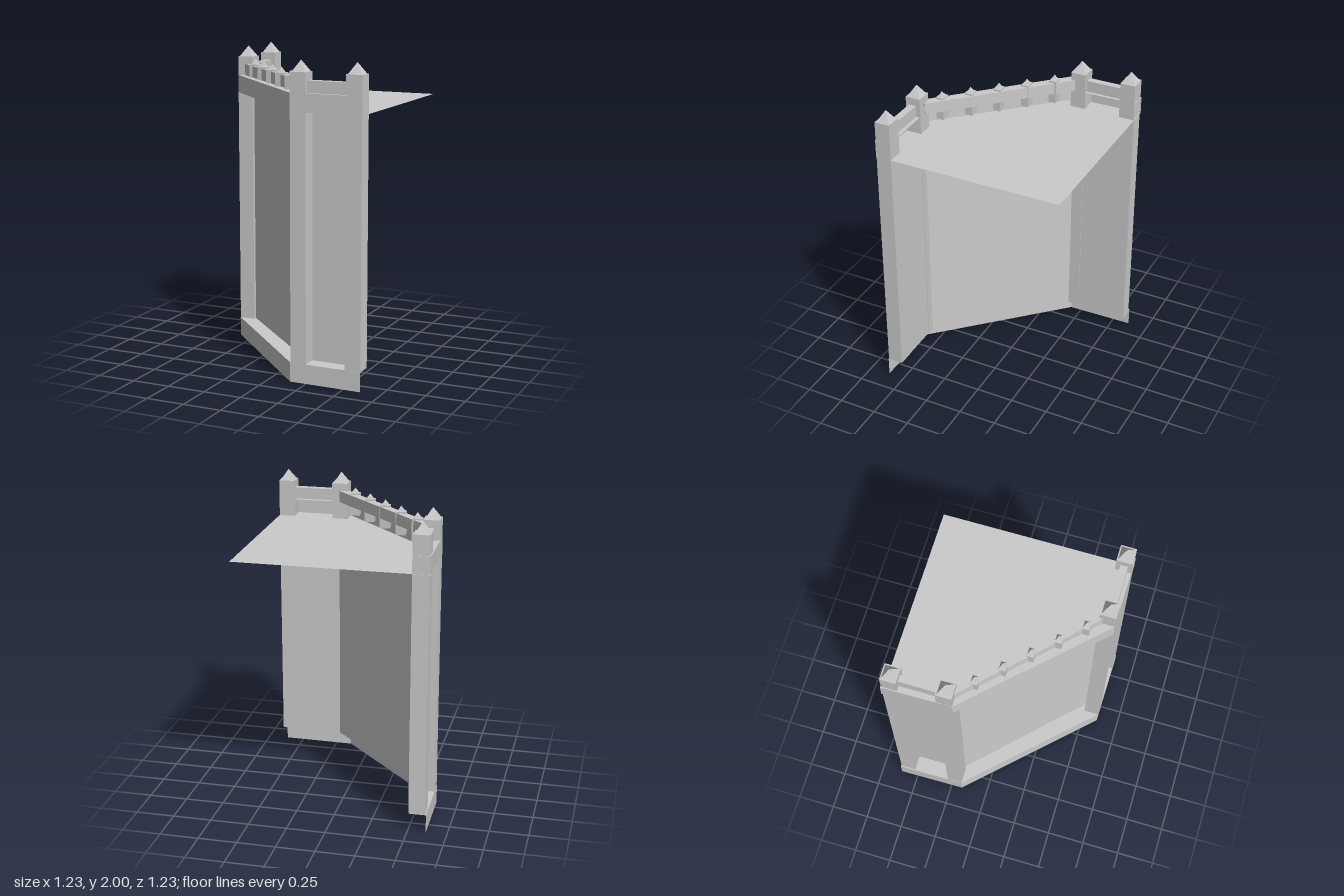
import * as THREE from 'three';

const material = new THREE.MeshStandardMaterial({ color: 0xcccccc, flatShading: true, side: THREE.DoubleSide });

// Plan outlines [x, z], running from the back end round to the front end
const OUTER = [[-0.617, -0.617], [-0.611, -0.175], [0.143, 0.605], [0.617, 0.611]];
const INNER = [[-0.51, -0.617], [-0.51, -0.205], [0.205, 0.51], [0.617, 0.51]];

function add(parent, name, geometry, x = 0, y = 0, z = 0) {
  const mesh = new THREE.Mesh(geometry, material);
  mesh.name = name;
  mesh.position.set(x, y, z);
  parent.add(mesh);
  return mesh;
}

// Strip of quads between two outlines at two heights
function ribbon(a, ya, b, yb) {
  const p = [];
  for (let i = 0; i < a.length - 1; i++) {
    const a0 = [a[i][0], ya, a[i][1]], a1 = [a[i + 1][0], ya, a[i + 1][1]];
    const b0 = [b[i][0], yb, b[i][1]], b1 = [b[i + 1][0], yb, b[i + 1][1]];
    p.push(...a0, ...a1, ...b1, ...a0, ...b1, ...b0);
  }
  const g = new THREE.BufferGeometry();
  g.setAttribute('position', new THREE.Float32BufferAttribute(p, 3));
  g.computeVertexNormals();
  return g;
}

// Box between two heights
function block(parent, name, x, z, w, d, y0, y1) {
  return add(parent, name, new THREE.BoxGeometry(w, y1 - y0, d), x, (y0 + y1) / 2, z);
}

// Square post with a pyramid cap
function post(parent, name, x, z, w, d, y0, y1, capW, capD, tip) {
  const g = new THREE.Group();
  g.name = name;
  block(g, name + 'Shaft', x, z, w, d, y0, y1);
  const cap = new THREE.ConeGeometry(Math.SQRT1_2, tip - y1, 4, 1);
  cap.rotateY(Math.PI / 4).scale(capW, 1, capD);
  add(g, name + 'Cap', cap, x, (y1 + tip) / 2, z);
  parent.add(g);
}

export function createModel() {
  const model = new THREE.Group();
  model.name = 'cornerFacade';

  // Plinth, recessed wall and projecting band
  add(model, 'plinthFace', ribbon(OUTER, 0, OUTER, 0.125));
  add(model, 'plinthLedge', ribbon(OUTER, 0.125, INNER, 0.125));
  add(model, 'wall', ribbon(INNER, 0.125, INNER, 1.69));
  add(model, 'bandUnderside', ribbon(INNER, 1.69, OUTER, 1.69));
  add(model, 'bandFace', ribbon(OUTER, 1.69, OUTER, 1.805));
  add(model, 'bandLedge', ribbon(OUTER, 1.805, INNER, 1.805));

  // Flat roof closing the open back
  const plan = [...INNER, [0.617, -0.617]].map(([x, z]) => new THREE.Vector2(x, -z));
  add(model, 'roof', new THREE.ShapeGeometry(new THREE.Shape(plan)).rotateX(-Math.PI / 2), 0, 1.69, 0);

  // Full-height posts
  for (const [x, z] of [[-0.557, -0.563], [-0.557, -0.225], [0.198, 0.556], [0.564, 0.558]]) {
    post(model, 'cornerPost', x, z, 0.105, 0.1, 0.125, 1.93, 0.088, 0.084, 2.0);
  }

  // Parapet rails
  block(model, 'sideRail', -0.553, -0.395, 0.046, 0.25, 1.805, 1.88);
  block(model, 'frontRail', 0.38, 0.56, 0.27, 0.048, 1.805, 1.88);
  const rail = block(model, 'diagonalRail', -0.183, 0.16, 1.02, 0.057, 1.805, 1.88);
  rail.rotation.y = -Math.PI / 4;

  // Small posts along the diagonal rail
  for (let i = 0; i < 5; i++) {
    post(model, 'smallPost', -0.438 + i * 0.129, -0.088 + i * 0.1335, 0.064, 0.05, 1.74, 1.89, 0.046, 0.034, 1.925);
  }
  return model;
}
